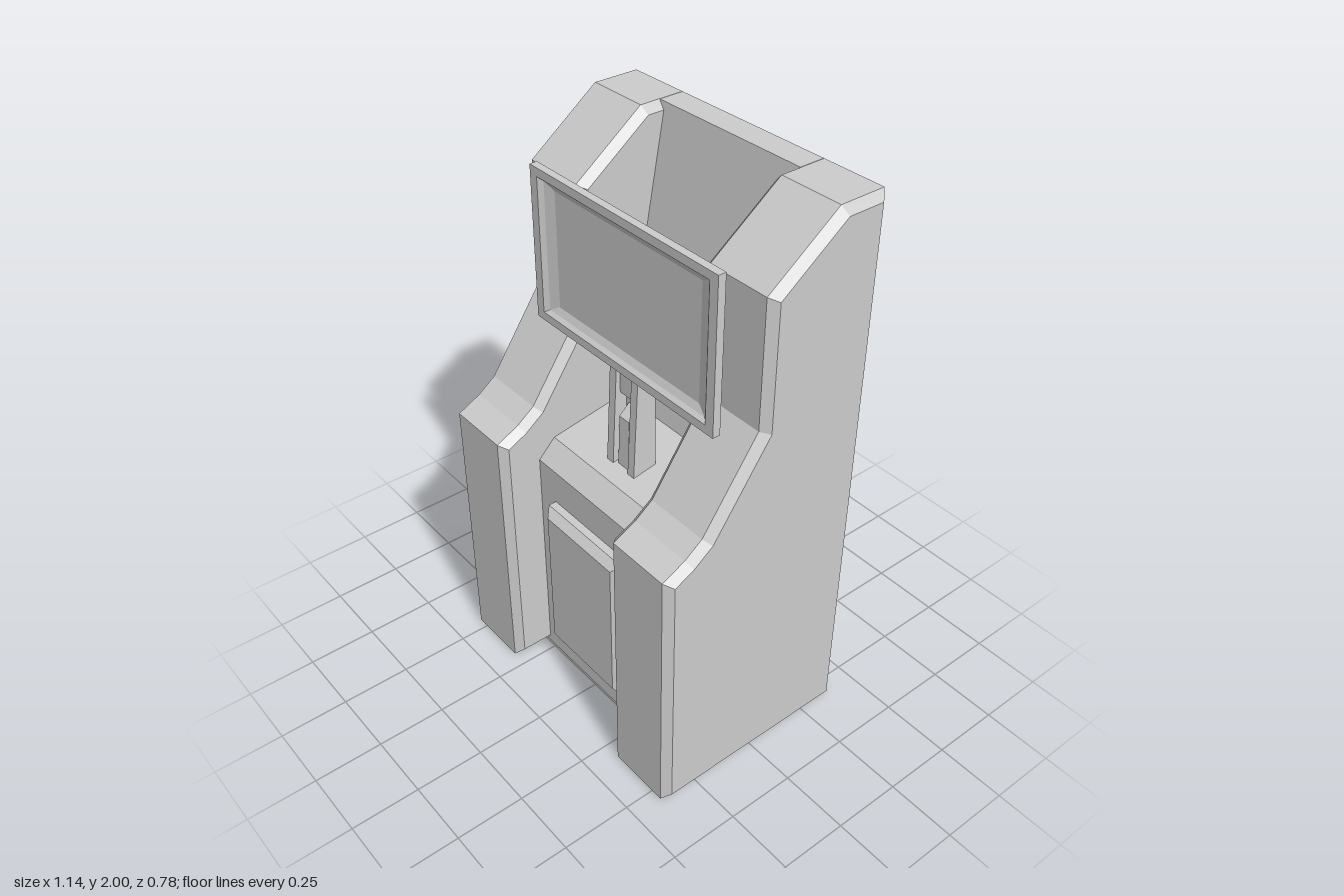
import * as THREE from 'three';

const grey = new THREE.MeshStandardMaterial({ color: 0xcccccc, flatShading: true });

function mesh(name, geometry) {
  const m = new THREE.Mesh(geometry, grey);
  m.name = name;
  return m;
}

// Extrudes a [z, y] profile across x, centred on cx, with optional chamfered edges
function slab(name, profile, cx, width, chamfer = 0) {
  const shape = new THREE.Shape(profile.map(([z, y]) => new THREE.Vector2(z, y)));
  const depth = width - 2 * chamfer;
  const geo = new THREE.ExtrudeGeometry(shape, {
    depth, bevelEnabled: chamfer > 0, bevelSegments: 1,
    bevelSize: chamfer, bevelThickness: chamfer, bevelOffset: -chamfer,
  });
  geo.translate(0, 0, -depth / 2).rotateY(-Math.PI / 2).translate(cx, 0, 0);
  return mesh(name, geo);
}

// Joins rectangles [halfWidth, halfHeight, z], listed from back to front
function rectLoft(name, rings, y) {
  const corners = [[1, 1], [-1, 1], [-1, -1], [1, -1]];
  const pos = [], index = [];
  rings.forEach(([w, h, z]) => corners.forEach(([sx, sy]) => pos.push(sx * w, y + sy * h, z)));
  for (let i = 0; i < rings.length - 1; i++) {
    for (let j = 0; j < 4; j++) {
      const a = i * 4 + j, b = i * 4 + (j + 1) % 4;
      index.push(a, b, b + 4, a, b + 4, a + 4);
    }
  }
  const geo = new THREE.BufferGeometry();
  geo.setAttribute('position', new THREE.Float32BufferAttribute(pos, 3));
  geo.setIndex(index);
  const flat = geo.toNonIndexed();
  flat.computeVertexNormals();
  return mesh(name, flat);
}

export function createModel() {
  const model = new THREE.Group();
  model.name = 'kiosk';

  // Chamfered side cheeks
  const cheek = [
    [-0.39, 0], [0.39, 0], [0.39, 0.98], [0.305, 1.022], [0.24, 1.07],
    [0.035, 1.365], [0.035, 1.81], [-0.222, 2], [-0.39, 2],
  ];
  for (const [side, name] of [[1, 'leftCheek'], [-1, 'rightCheek']]) {
    model.add(slab(name, cheek, side * 0.4275, 0.285, 0.027));
  }

  // Centre body: front wall, lip, sloping deck and leaning back wall
  model.add(slab('centreBody', [
    [-0.39, 0], [0.245, 0], [0.245, 0.865], [0.18, 0.93],
    [-0.115, 0.98], [-0.297, 2], [-0.39, 2],
  ], 0, 0.62));

  // Raised door on the lower front
  model.add(rectLoft('door', [
    [0, 0, 0.235], [0.2, 0.303, 0.235], [0.2, 0.303, 0.274],
    [0.172, 0.275, 0.301], [0, 0, 0.301],
  ], 0.433));

  // Monitor with sloping back edges and a sunken screen
  model.add(rectLoft('monitor', [
    [0, 0, 0.062], [0.37, 0.222, 0.062], [0.41, 0.252, 0.071], [0.437, 0.272, 0.087],
    [0.437, 0.272, 0.115], [0.402, 0.242, 0.115], [0.385, 0.23, 0.102],
    [0.345, 0.207, 0.09], [0, 0, 0.09],
  ], 1.587));

  // Monitor stand: two posts joined by a web, a foot and a bracket
  const stand = new THREE.Group();
  stand.name = 'monitorStand';
  const post = [
    [0.028, 0.92], [0.12, 0.92], [0.1, 1.3], [0.065, 1.36],
    [0.065, 1.56], [0.042, 1.59], [0.028, 1.575],
  ];
  for (const side of [1, -1]) stand.add(slab('standPost', post, side * 0.054, 0.032));
  stand.add(slab('standWeb', [[0.04, 0.92], [0.06, 0.92], [0.06, 1.56], [0.04, 1.58]], 0, 0.08));
  stand.add(slab('standFoot', [[0.05, 0.92], [0.108, 0.92], [0.1, 1.13], [0.055, 1.17]], 0, 0.05));
  stand.add(slab('standBracket', [[0.05, 1.17], [0.085, 1.21], [0.085, 1.33], [0.05, 1.36]], 0, 0.08));
  model.add(stand);

  return model;
}
